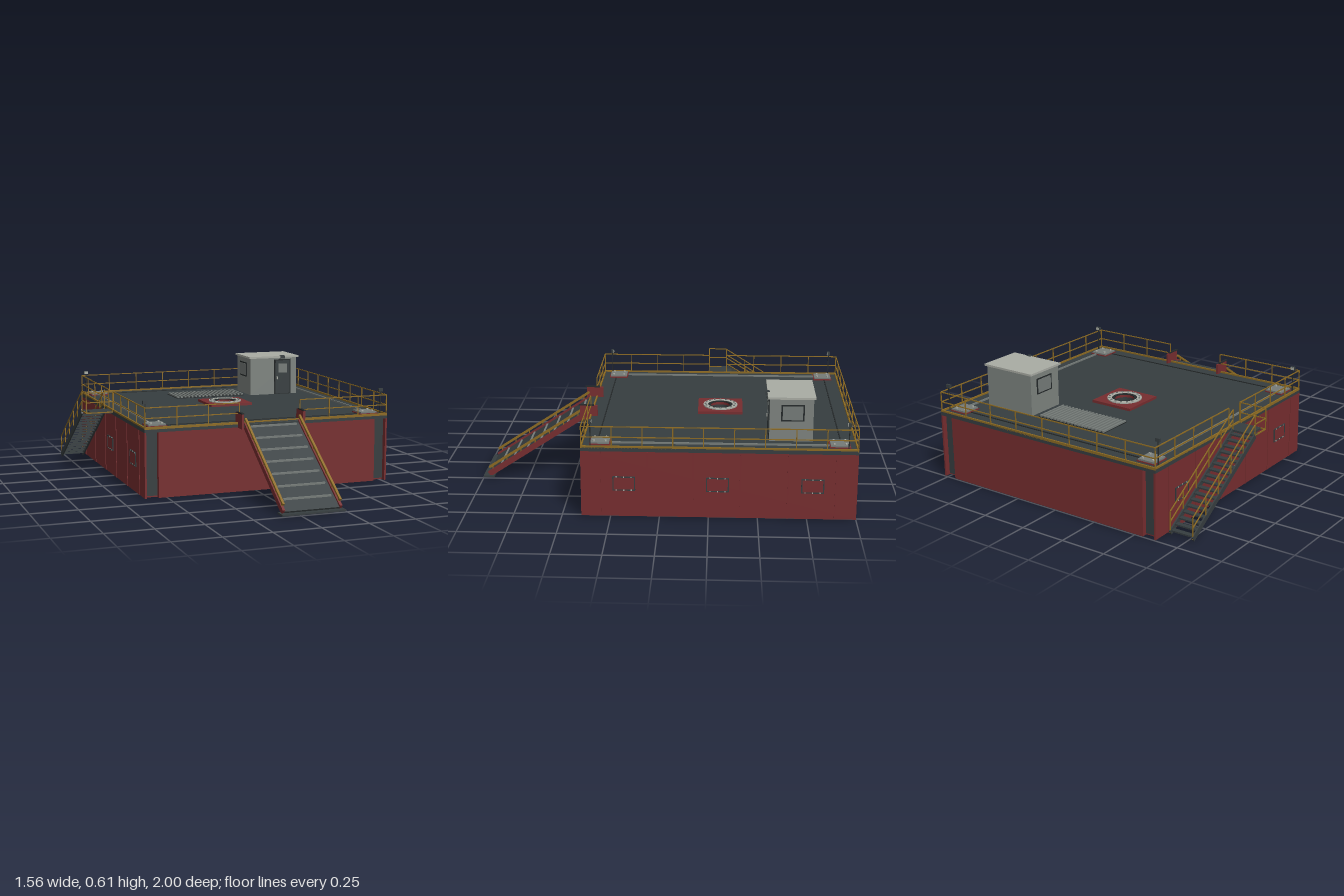
import * as THREE from 'three';

const CX = 0.073, CZ = -0.3, HW = 0.697, HD = 0.7; // hull centre and half sizes
const X0 = CX - HW, X1 = CX + HW, Z0 = CZ - HD, Z1 = CZ + HD;
const DECK = 0.368;

function material(name, color, side = THREE.FrontSide) {
  const m = new THREE.MeshStandardMaterial({ color, side });
  m.name = name;
  return m;
}

export function createModel() {
  const model = new THREE.Group();
  const red = material('hull red', 0x762d2f);
  const dark = material('deck dark grey', 0x363d3f);
  const yellow = material('safety yellow', 0x8c6a22);
  const grey = material('steel grey', 0x757b78);
  const wall = material('cabin grey', 0x7d837f);
  const pale = material('pale grey', 0xa9aca4);
  const black = material('near black', 0x24292a);

  const group = (name, parent = model) => {
    const g = new THREE.Group();
    g.name = name;
    parent.add(g);
    return g;
  };
  const add = (parent, name, geo, mat) => {
    const m = new THREE.Mesh(geo, mat);
    m.name = name;
    parent.add(m);
    return m;
  };
  // Box given by its limits on each axis
  const box = (p, name, mat, xa, xb, ya, yb, za, zb) => {
    const m = add(p, name, new THREE.BoxGeometry(xb - xa, yb - ya, zb - za), mat);
    m.position.set((xa + xb) / 2, (ya + yb) / 2, (za + zb) / 2);
    return m;
  };
  // Straight bar from a to b
  const bar = (p, name, mat, a, b, w = 0.006, h = w) => {
    const A = new THREE.Vector3(...a), B = new THREE.Vector3(...b);
    const m = add(p, name, new THREE.BoxGeometry(w, h, A.distanceTo(B)), mat);
    m.position.copy(A).lerp(B, 0.5);
    m.lookAt(B);
    return m;
  };
  const disc = (p, name, mat, r, h, x, y, z, sides = 10) => {
    const m = add(p, name, new THREE.CylinderGeometry(r, r, h, sides), mat);
    m.position.set(x, y, z);
    return m;
  };
  // Flat shape (x, -z) extruded upwards from y
  const slab = (p, name, mat, shape, y, h) => {
    const g = new THREE.ExtrudeGeometry(shape, { depth: h, bevelEnabled: false, curveSegments: 24 });
    g.rotateX(-Math.PI / 2);
    const m = add(p, name, g, mat);
    m.position.y = y;
    return m;
  };
  const points = (list) => list.map(([x, z]) => new THREE.Vector2(x, -z));
  const rect = (xa, xb, za, zb) => points([[xa, za], [xa, zb], [xb, zb], [xb, za]]);

  // Hull: open-bottomed ring of walls with recesses at the front and back corners
  const hull = group('hull');
  const n0 = 0.01, n1 = 0.075, nd = 0.03;
  const notch = [[X0, Z1], [X0 + n0, Z1], [X0 + n0, Z1 - nd], [X0 + n1, Z1 - nd], [X0 + n1, Z1]];
  const front = [...notch, ...notch.map(([x, z]) => [2 * CX - x, z]).reverse()];
  const back = front.map(([x, z]) => [x, 2 * CZ - z]).reverse();
  const outline = new THREE.Shape(points([...front, ...back]));
  outline.holes.push(new THREE.Path(rect(X0 + 0.078, X1 - 0.078, Z0 + 0.07, Z1 - 0.07)));
  slab(hull, 'hullWalls', red, outline, 0, 0.348);
  for (const sx of [-1, 1]) for (const sz of [-1, 1]) {
    const x = CX + sx * (HW - 0.0425), z = CZ + sz * (HD - 0.028);
    box(hull, 'cornerPlate', dark, x - 0.032, x + 0.032, 0.008, 0.348, z - 0.002, z + 0.002);
  }

  // Side wall seams and hatches
  for (const s of [-1, 1]) {
    const x = CX + s * HW;
    for (const z of [0.3, 0.06, -0.17, -0.41, -0.65, -0.89])
      box(hull, 'wallSeam', red, x - 0.003, x + 0.003, 0, 0.348, z - 0.003, z + 0.003);
    for (const z of [0.18, -0.295, -0.775]) {
      const hatch = group('sideHatch', hull);
      box(hatch, 'hatchPanel', red, x - 0.003, x + 0.003, 0.145, 0.21, z - 0.052, z + 0.052);
      for (const y of [0.143, 0.213]) {
        box(hatch, 'hatchFrame', dark, x - 0.005, x + 0.005, y - 0.003, y + 0.003, z - 0.057, z + 0.057);
        for (const d of [-0.038, 0, 0.038])
          box(hatch, 'hatchBolt', pale, x - 0.006, x + 0.006, y - 0.003, y + 0.003, z + d - 0.003, z + d + 0.003);
      }
      for (const d of [-0.055, 0.055])
        box(hatch, 'hatchFrame', dark, x - 0.005, x + 0.005, 0.143, 0.213, z + d - 0.003, z + d + 0.003);
    }
  }

  // Deck with a round well, its yellow rim and the beams below
  const deck = group('deck');
  const wx = 0.07, wz = -0.305;
  const withWell = (pts, r) => {
    const s = new THREE.Shape(pts);
    s.holes.push(new THREE.Path().absarc(wx, -wz, r, 0, Math.PI * 2, true));
    return s;
  };
  slab(deck, 'deckPlate', dark, withWell(rect(X0, X1, Z0, Z1), 0.053), 0.348, DECK - 0.348);
  for (const z of [Z0 + 0.004, Z1 - 0.004]) box(deck, 'deckRim', yellow, X0, X1, 0.364, 0.377, z - 0.004, z + 0.004);
  for (const x of [X0 + 0.004, X1 - 0.004]) box(deck, 'deckRim', yellow, x - 0.004, x + 0.004, 0.364, 0.377, Z0, Z1);
  for (const x of [-0.55, 0.697]) box(deck, 'deckPipe', grey, x - 0.004, x + 0.004, DECK, 0.377, -0.86, 0.25);
  for (const z of [-0.92, 0.32]) box(deck, 'deckSeam', black, -0.48, 0.63, DECK, 0.372, z - 0.003, z + 0.003);
  for (const i of [-1.5, -0.5, 0.5, 1.5]) {
    const x = CX + i * 0.31, z = CZ + i * 0.31;
    box(deck, 'underBeam', dark, x - 0.012, x + 0.012, 0.318, 0.348, Z0 + 0.06, Z1 - 0.06);
    box(deck, 'underBeam', dark, X0 + 0.06, X1 - 0.06, 0.323, 0.348, z - 0.012, z + 0.012);
  }

  // Well base and flange
  const well = group('well');
  slab(well, 'wellBase', red, withWell(rect(wx - 0.125, wx + 0.125, wz - 0.122, wz + 0.122), 0.053), DECK, 0.014);
  const ring = (name, mat, r0, r1, h) => slab(well, name, mat,
    withWell(new THREE.Path().absarc(wx, -wz, r1, 0, Math.PI * 2).getPoints(24).slice(0, -1), r0), 0.382, h);
  ring('wellFlange', pale, 0.068, 0.094, 0.006);
  ring('wellSeal', black, 0.053, 0.068, 0.004);
  for (let i = 0; i < 16; i++) {
    const a = i * Math.PI / 8;
    disc(well, 'flangeBolt', grey, 0.005, 0.006, wx + 0.082 * Math.cos(a), 0.39, wz + 0.082 * Math.sin(a), 6);
  }

  // Corner pads and floodlights
  for (const [x, lx] of [[-0.54, -0.605], [0.68, 0.752]]) for (const [z, lz] of [[-0.91, -0.95], [0.305, 0.35]]) {
    const pad = group('cornerPad');
    box(pad, 'padBase', red, x - 0.053, x + 0.053, DECK, 0.374, z - 0.053, z + 0.053);
    box(pad, 'padPlate', grey, x - 0.048, x + 0.048, 0.374, 0.382, z - 0.048, z + 0.048);
    for (const i of [-1, 1]) for (const j of [-1, 1])
      disc(pad, 'padBolt', pale, 0.006, 0.008, x + i * 0.03, 0.385, z + j * 0.03, 8);
    const lamp = group('floodlight');
    bar(lamp, 'lampPole', black, [lx, DECK, lz], [lx, 0.492, lz], 0.005);
    box(lamp, 'lampHead', dark, lx - 0.013, lx + 0.013, 0.492, 0.51, lz - 0.007, lz + 0.007);
    const face = lz > CZ ? -1 : 1;
    box(lamp, 'lampFace', pale, lx - 0.011, lx + 0.011, 0.494, 0.508, lz + face * 0.008 - 0.001, lz + face * 0.008 + 0.001);
  }

  // Guard rails: each run has evenly spaced posts and two rails
  const railRun = (a, b, n) => {
    const g = group('guardRail');
    const at = (t, y) => [a[0] + (b[0] - a[0]) * t, y, a[1] + (b[1] - a[1]) * t];
    for (let i = 0; i <= n; i++) bar(g, 'railPost', yellow, at(i / n, DECK), at(i / n, 0.478), 0.005);
    for (const y of [0.423, 0.478]) bar(g, 'railBar', yellow, at(0, y), at(1, y), 0.005);
  };
  const e = 0.004, L = X0 + e, R = X1 - e, B = Z0 + e, F = Z1 - e;
  railRun([L, B], [R, B], 8);
  railRun([R, B], [R, F], 9);
  railRun([L, F], [-0.1, F], 3);
  railRun([0.248, F], [R, F], 3);
  railRun([L, F], [L, -0.235], 4);
  railRun([L, -0.34], [L, B], 4);

  // Floor grating
  const grating = group('grating');
  box(grating, 'gratingBase', black, -0.138, 0.287, DECK, 0.371, -0.767, -0.568);
  for (let i = 0; i < 19; i++) {
    const x = -0.13 + i * 0.0227;
    box(grating, 'gratingSlat', grey, x - 0.0055, x + 0.0055, 0.371, 0.38, -0.763, -0.572);
  }

  // Cabin with door and side windows
  const cabin = group('cabin');
  box(cabin, 'cabinWalls', wall, 0.326, 0.628, DECK, 0.592, -0.778, -0.555);
  box(cabin, 'cabinRoof', pale, 0.316, 0.638, 0.592, 0.603, -0.788, -0.545);
  box(cabin, 'doorFrame', black, 0.482, 0.59, DECK, 0.582, -0.556, -0.552);
  box(cabin, 'door', dark, 0.49, 0.582, 0.372, 0.575, -0.555, -0.549);
  box(cabin, 'doorWindow', grey, 0.508, 0.564, 0.5, 0.555, -0.552, -0.547);
  box(cabin, 'doorHandle', pale, 0.496, 0.504, 0.46, 0.475, -0.55, -0.544);
  box(cabin, 'doorLamp', dark, 0.518, 0.544, 0.588, 0.606, -0.556, -0.535);
  for (const x of [0.326, 0.628]) {
    box(cabin, 'windowFrame', black, x - 0.003, x + 0.003, 0.475, 0.562, -0.732, -0.613);
    box(cabin, 'windowPane', grey, x - 0.004, x + 0.004, 0.482, 0.555, -0.724, -0.621);
  }

  // Boarding ramp
  const ramp = group('ramp');
  const slope = (z) => 0.375 - (z - 0.43) * 0.655; // ramp surface height
  const along = (name, mat, x, dy, w, h, za = 0.43, zb = 0.97) =>
    bar(ramp, name, mat, [x, slope(za) + dy, za], [x, slope(zb) + dy, zb], w, h);
  along('rampPlate', dark, 0.0725, -0.009, 0.3, 0.012);
  for (const x of [-0.082, 0.227]) {
    along('rampBeam', red, x, -0.008, 0.014, 0.03);
    along('rampHandrail', yellow, x, 0.031, 0.012, 0.012, 0.44);
    for (let i = 0; i < 7; i++) {
      const z = 0.47 + i * 0.08;
      bar(ramp, 'handrailPost', yellow, [x, slope(z), z], [x, slope(z) + 0.028, z], 0.006);
    }
  }
  for (let i = 0; i < 7; i++) {
    const z = 0.455 + i * 0.075;
    bar(ramp, 'rampCleat', grey, [-0.058, slope(z), z], [0.203, slope(z), z], 0.01);
  }
  box(ramp, 'rampToe', dark, -0.1, 0.245, 0, 0.009, 0.94, 1);
  for (const x of [-0.102, 0.248]) {
    box(ramp, 'rampBracket', red, x - 0.006, x + 0.006, 0.345, 0.425, 0.36, 0.455);
    box(ramp, 'bracketCap', black, x - 0.007, x + 0.007, 0.425, 0.431, 0.38, 0.462);
  }
  box(ramp, 'rampHinge', dark, -0.1, 0.245, 0.352, 0.37, 0.395, 0.445);

  // Side stairs with landing
  const stairs = group('stairs');
  const xa = -0.776, xb = -0.645, top = [0.36, -0.34], foot = [0.008, -0.905];
  box(stairs, 'landing', dark, -0.75, X0, 0.357, DECK, -0.34, -0.235);
  box(stairs, 'landingStep', dark, xa, xb, 0.357, DECK, -0.345, -0.31);
  for (const x of [xa, xb]) {
    bar(stairs, 'stringer', dark, [x, ...top], [x, ...foot], 0.008, 0.028);
    for (const dy of [0.06, 0.115])
      bar(stairs, 'stairRail', yellow, [x, top[0] + dy, top[1]], [x, foot[0] + dy, foot[1]], 0.005);
    for (let i = 0; i <= 5; i++) {
      const y = top[0] + (foot[0] - top[0]) * i / 5, z = top[1] + (foot[1] - top[1]) * i / 5;
      bar(stairs, 'stairPost', yellow, [x, y, z], [x, y + 0.115, z], 0.005);
    }
  }
  for (let i = 0; i < 17; i++) {
    const t = (i + 0.5) / 17, y = top[0] + (foot[0] - top[0]) * t, z = top[1] + (foot[1] - top[1]) * t;
    box(stairs, 'tread', dark, xa, xb, y - 0.004, y + 0.004, z - 0.014, z + 0.014);
  }
  for (const y of [0.423, 0.478]) {
    bar(stairs, 'landingRail', yellow, [xa, y, -0.34], [xa, y, -0.235], 0.005);
    bar(stairs, 'landingRail', yellow, [xa, y, -0.235], [X0, y, -0.235], 0.005);
  }
  for (const x of [xa, X0]) bar(stairs, 'landingPost', yellow, [x, 0.36, -0.235], [x, 0.478, -0.235], 0.005);
  bar(stairs, 'landingEdge', yellow, [xa, 0.364, -0.235], [X0, 0.364, -0.235], 0.006);
  bar(stairs, 'landingEdge', yellow, [xa, 0.364, -0.34], [xa, 0.364, -0.235], 0.006);

  return model;
}
